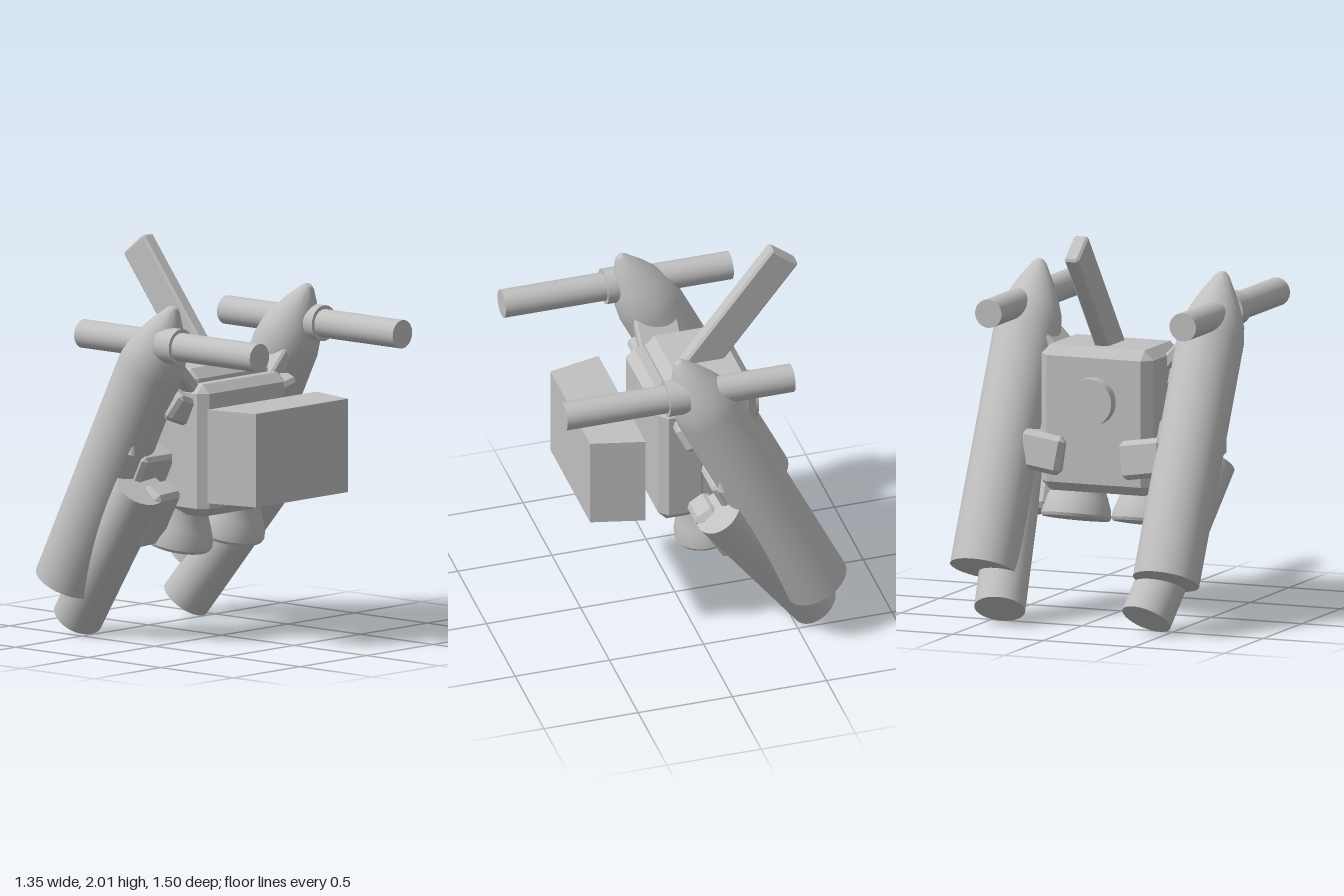
import * as THREE from 'three';
import { ConvexGeometry } from 'three/addons/geometries/ConvexGeometry.js';
import { toCreasedNormals } from 'three/addons/utils/BufferGeometryUtils.js';

const SIGNS = [-1, 1];

// Box with flat chamfers on every edge
function chamferBox(w, h, d, c) {
  const pts = [];
  const [x, y, z] = [w / 2, h / 2, d / 2];
  for (const i of SIGNS) for (const j of SIGNS) for (const k of SIGNS) {
    pts.push(new THREE.Vector3(i * x, j * (y - c), k * (z - c)));
    pts.push(new THREE.Vector3(i * (x - c), j * y, k * (z - c)));
    pts.push(new THREE.Vector3(i * (x - c), j * (y - c), k * z));
  }
  return new ConvexGeometry(pts);
}

// Turned solid from [radius, height] pairs, listed bottom to top
function turned(profile) {
  const geo = new THREE.LatheGeometry(profile.map(([r, y]) => new THREE.Vector2(r, y)), 40);
  return toCreasedNormals(geo, 0.5);
}

export function createModel() {
  const group = new THREE.Group();
  const grey = new THREE.MeshStandardMaterial({ color: 0xc0c0c0 });
  grey.name = 'light grey';

  function add(name, geo, pos = [0, 0, 0], rot = [0, 0, 0]) {
    const mesh = new THREE.Mesh(geo, grey);
    mesh.name = name;
    mesh.position.set(...pos);
    mesh.rotation.set(...rot);
    group.add(mesh);
    return mesh;
  }

  // Cylinder between two points
  function rod(name, a, b, r) {
    const p = new THREE.Vector3(...a), q = new THREE.Vector3(...b);
    const dir = q.clone().sub(p);
    const mesh = add(name, new THREE.CylinderGeometry(r, r, dir.length(), 40));
    mesh.position.copy(p).add(q).multiplyScalar(0.5);
    mesh.quaternion.setFromUnitVectors(new THREE.Vector3(0, 1, 0), dir.normalize());
  }

  // Central pack: main block, lower front block, rear disc
  add('mainBody', chamferBox(0.62, 0.75, 0.43, 0.05), [0, 1.025, -0.135]);
  add('frontBody', chamferBox(0.65, 0.68, 0.26, 0.045), [0, 0.99, 0.045]);
  rod('rearDisc', [0, 1.13, -0.3], [0, 1.13, -0.41], 0.122);

  // Swept top fin
  const tilt = Math.atan2(0.29, 0.37);
  add('topFin', chamferBox(0.08, 0.86, 0.18, 0.012), [0, 1.615, -0.312], [-tilt, 0, 0]);

  // Floating front panel, narrower at the front
  const panel = [];
  for (const s of SIGNS) for (const y of [0.75, 1.23]) {
    panel.push(new THREE.Vector3(s * 0.41, y, 0.28), new THREE.Vector3(s * 0.345, y, 0.555));
  }
  add('frontPanel', new ConvexGeometry(panel));

  const nozzle = turned([[0, 0], [0.172, 0], [0.18, 0.015], [0.176, 0.05], [0.155, 0.11],
    [0.13, 0.17], [0.12, 0.26], [0, 0.26]]);
  const tank = turned([[0, 0], [0.171, 0], [0.171, 1.3], [0.158, 1.38], [0.13, 1.455],
    [0.09, 1.54], [0.035, 1.635], [0.018, 1.652], [0, 1.656]]);
  const lean = Math.atan2(0.58, 1.17);

  for (const s of SIGNS) {
    const side = s > 0 ? 'left' : 'right';

    // Bell nozzle below the body
    add(side + 'Nozzle', nozzle, [s * 0.195, 0.48, -0.125], [0.24, 0, 0]);

    // Leaning tank with pointed nose, and slimmer tube crossing it
    add(side + 'Tank', tank, [s * 0.505, 0.272, -0.595], [lean, 0, 0]);
    rod(side + 'LowerTube', [s * 0.405, 0.075, -0.615], [s * 0.525, 0.81, -0.07], 0.13);

    // Barrel with collar and slanted mount
    rod(side + 'Barrel', [s * 0.537, 1.56, -0.455], [s * 0.537, 1.56, 0.755], 0.073);
    rod(side + 'BarrelCollar', [s * 0.537, 1.56, 0.105], [s * 0.537, 1.56, 0.215], 0.092);
    add(side + 'BarrelMount', chamferBox(0.36, 0.065, 0.23, 0.012),
      [s * 0.385, 1.4, -0.015], [0, 0, s * 0.8]);

    // Brackets joining tank, tube and body
    add(side + 'UpperBracket', chamferBox(0.2, 0.15, 0.2, 0.02),
      [s * 0.365, 1.235, 0], [lean, 0, s * 0.35]);
    add(side + 'MiddleBracket', chamferBox(0.3, 0.17, 0.2, 0.02),
      [s * 0.38, 0.92, -0.16], [lean, 0, 0]);
    add(side + 'LowerBracket', chamferBox(0.18, 0.34, 0.13, 0.025),
      [s * 0.415, 0.655, -0.09], [0.55, 0, s * -0.08]);
    add(side + 'RearBracket', chamferBox(0.24, 0.2, 0.14, 0.025),
      [s * 0.28, 0.85, -0.335], [0.1, 0, s * 0.15]);

    // Small spur on the tank front
    add(side + 'TankSpur', new THREE.ConeGeometry(0.025, 0.09, 4),
      [s * 0.59, 1.025, -0.065], [0.1, 0, s * 0.2]);
  }
  return group;
}
